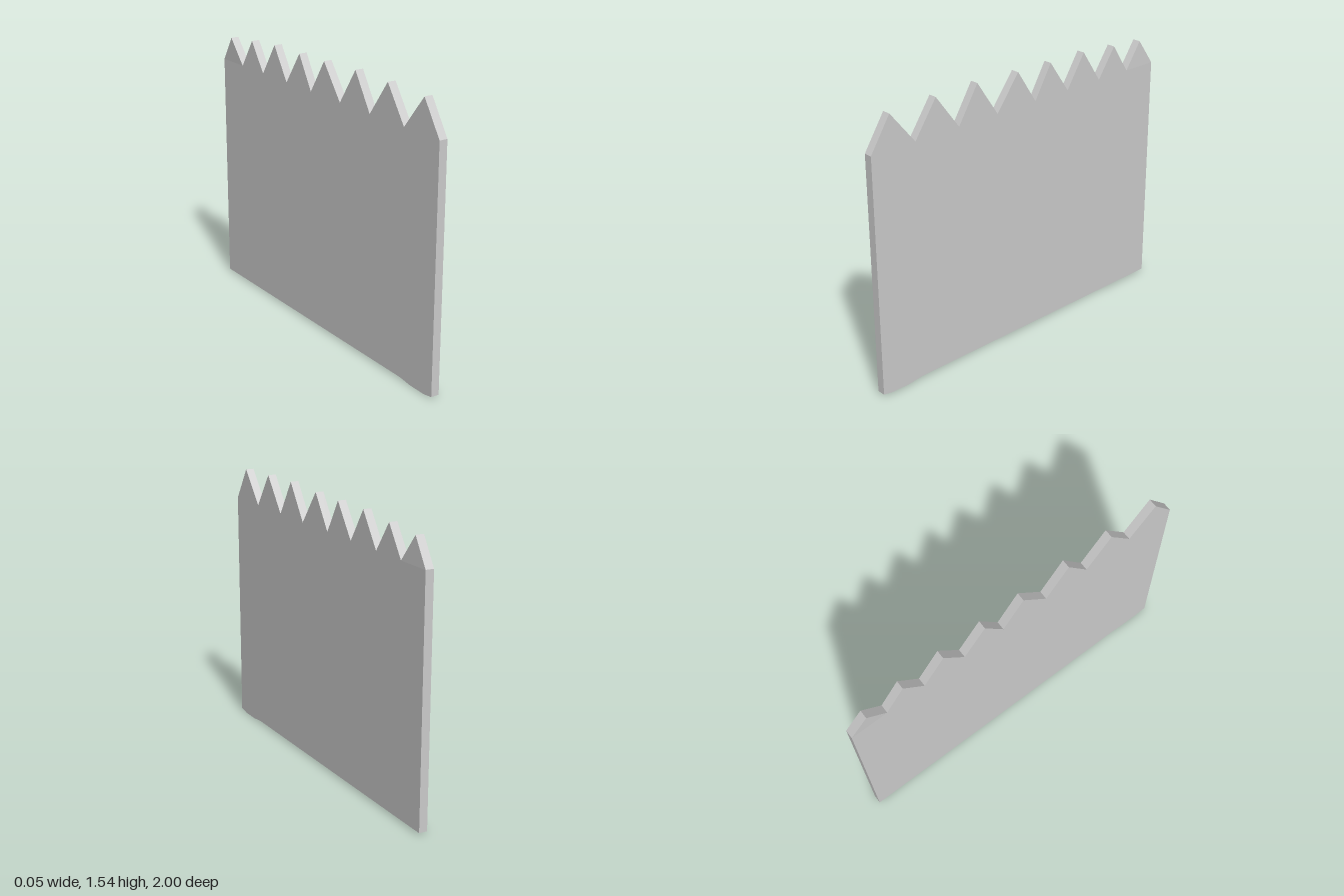
import * as THREE from 'three';

const THICKNESS = 0.047;
const VALLEY = 1.345;

// Tooth tips [z, y] from front to back, and the valleys between them
const tips = [[0.88, 1.53], [0.595, 1.54], [0.325, 1.545], [0.045, 1.535],
  [-0.19, 1.53], [-0.44, 1.53], [-0.68, 1.51], [-0.9, 1.49]];
const valleys = [0.73, 0.45, 0.19, -0.08, -0.32, -0.565, -0.79, -1];

// Panel outline; shape x is -z
function panelShape() {
  const shape = new THREE.Shape();
  shape.moveTo(-1, VALLEY);
  tips.forEach(([z, y], i) => {
    shape.lineTo(-z, y);
    shape.lineTo(-valleys[i], VALLEY);
  });
  // Bottom edge, with a shallow dip near the front
  for (const [z, y] of [[-1, 0.01], [0.74, 0.01], [0.83, 0], [0.94, 0], [1, 0.01]]) shape.lineTo(-z, y);
  shape.closePath();
  return shape;
}

export function createModel() {
  const group = new THREE.Group();
  group.name = 'jaggedPanel';

  const geometry = new THREE.ExtrudeGeometry(panelShape(), { depth: THICKNESS, bevelEnabled: false });
  geometry.rotateY(Math.PI / 2);
  geometry.translate(-0.022, 0, 0);

  // The rearmost tooth leans slightly to the right
  const pos = geometry.attributes.position;
  for (let i = 0; i < pos.count; i++) {
    if (pos.getY(i) > 1.4 && pos.getZ(i) < -0.85) pos.setX(i, pos.getX(i) - 0.007);
  }
  geometry.computeVertexNormals();

  const panel = new THREE.Mesh(geometry, new THREE.MeshStandardMaterial({ color: 0xcccccc, flatShading: true }));
  panel.name = 'panel';
  group.add(panel);
  return group;
}
